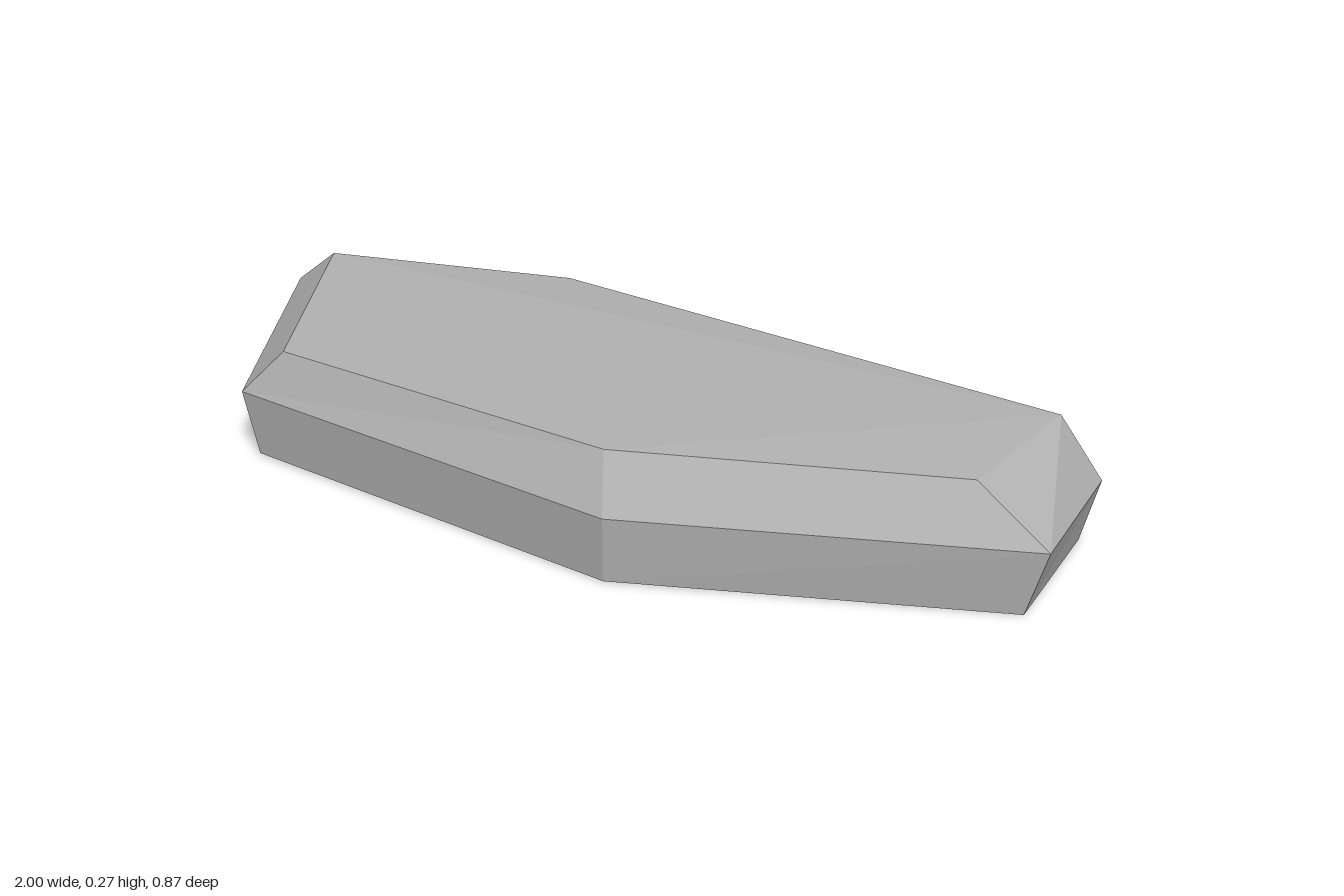
import * as THREE from 'three';

// Six-cornered outlines, running from the back right corner round by the left to the front
const base = [[-0.96, 0, -0.24], [-0.385, 0, -0.417], [0.945, 0, -0.195], [0.955, 0, 0.142], [0.18, 0.003, 0.42], [-0.74, 0.005, 0.29]];
const rim = [[-1, 0.16, -0.25], [-0.4, 0.18, -0.435], [0.98, 0.14, -0.205], [1, 0.148, 0.145], [0.185, 0.15, 0.433], [-0.77, 0.15, 0.3]];
const crown = [[-0.88, 0.258, -0.22], [-0.34, 0.251, -0.366], [0.89, 0.274, -0.187], [0.835, 0.257, 0.125], [0.15, 0.262, 0.362], [-0.68, 0.25, 0.265]];

// Band between two outlines; flips marks the sides whose diagonal leans the other way
function band(lower, upper, flips) {
  const tris = [];
  for (let i = 0; i < 6; i++) {
    const j = (i + 1) % 6;
    const [a, b, c, d] = [lower[i], lower[j], upper[j], upper[i]];
    if (flips.includes(i)) tris.push(a, c, b, a, d, c);
    else tris.push(a, d, b, b, d, c);
  }
  return tris;
}

// Cap of four triangles joining alternate corners
function cap(r, up) {
  const tris = [[0, 1, 2], [2, 3, 4], [4, 5, 0], [0, 2, 4]];
  return tris.flatMap(([a, b, c]) => (up ? [r[a], r[c], r[b]] : [r[a], r[b], r[c]]));
}

export function createModel() {
  const stone = new THREE.MeshStandardMaterial({ color: 0xb0b0b0 });
  stone.name = 'grey stone';
  const group = new THREE.Group();
  group.name = 'flatRock';

  const add = (name, tris) => {
    const geometry = new THREE.BufferGeometry();
    geometry.setAttribute('position', new THREE.Float32BufferAttribute(tris.flat(), 3));
    geometry.computeVertexNormals(); // unshared corners keep the facets flat
    const mesh = new THREE.Mesh(geometry, stone);
    mesh.name = name;
    group.add(mesh);
  };

  add('sideWall', band(base, rim, []));
  add('bevel', band(rim, crown, [1]));
  add('topFace', cap(crown, true));
  add('underside', cap(base, false));
  return group;
}
